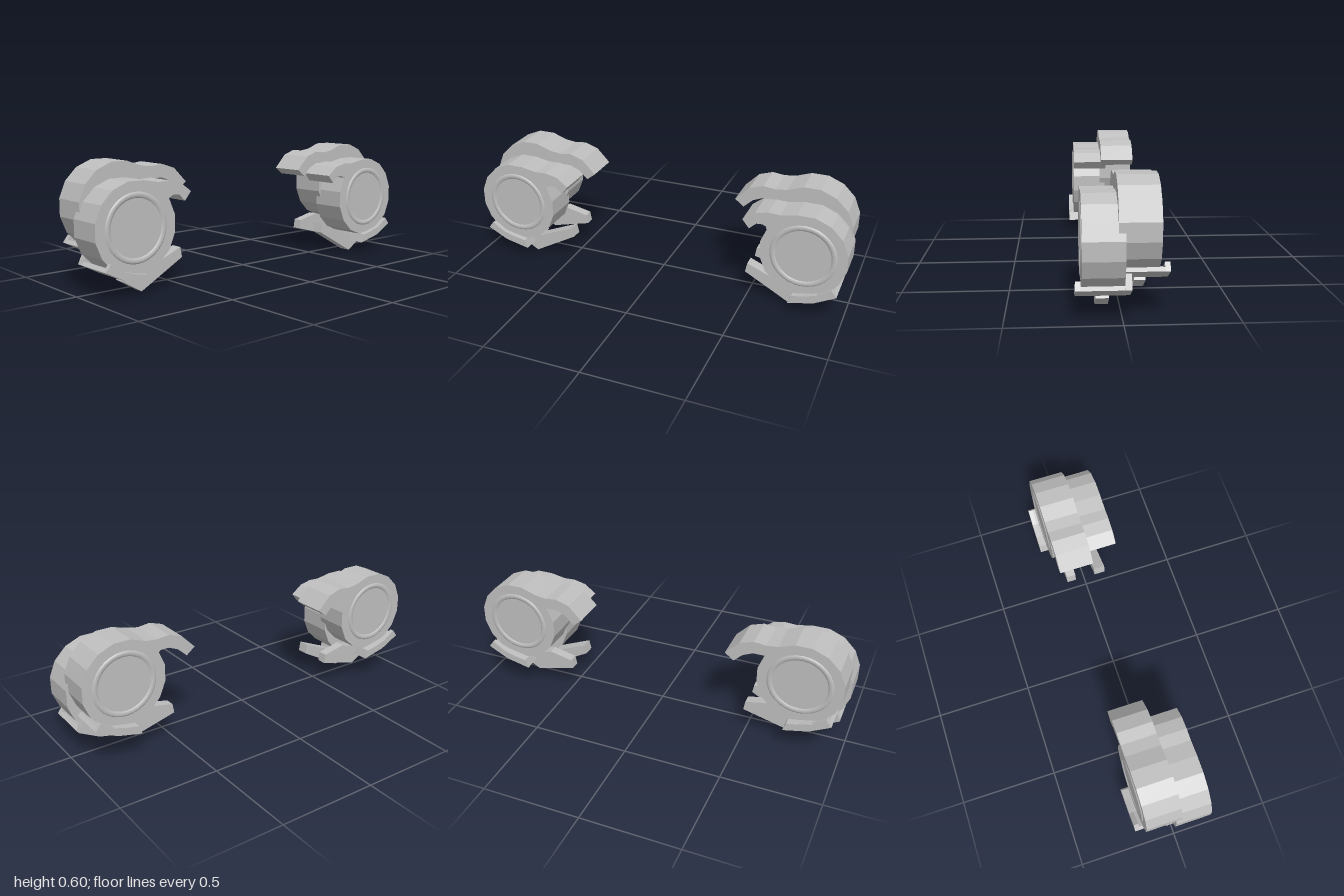
import * as THREE from 'three';

const grey = new THREE.MeshStandardMaterial({ color: 0xbebebe });
grey.name = 'grey';

// Extrude an x/y outline between two depths; s mirrors it across x = 0
function slab(name, points, z0, z1, s) {
  const shape = new THREE.Shape(points.map(([x, y]) => new THREE.Vector2(x * s, y)));
  const geo = new THREE.ExtrudeGeometry(shape, { depth: z1 - z0, bevelEnabled: false });
  geo.translate(0, 0, z0);
  const mesh = new THREE.Mesh(geo, grey);
  mesh.name = name;
  return mesh;
}

// Sixteen-sided housing whose upper inner side runs out into a curved horn
function housingOutline(cx, cy, horn) {
  const R = 0.217, pts = [];
  for (let i = 0; i < 16; i++) {
    const deg = 146.25 + i * 22.5;
    if (deg > 146.25 + 14 * 22.5 + 1) break;
    const a = THREE.MathUtils.degToRad(deg);
    pts.push([cx + R * Math.cos(a), cy + R * Math.sin(a)]);
  }
  return pts.concat(horn);
}

// Thin rounded ring on the outer face of a housing
function dialRing(cx, cy, z, dir) {
  const profile = [[0.166, -0.002], [0.163, 0.003], [0.155, 0.006], [0.146, 0.005], [0.139, 0.002], [0.135, -0.002]]
    .map(([r, h]) => new THREE.Vector2(r, h));
  const ring = new THREE.Mesh(new THREE.LatheGeometry(profile, 32), grey);
  ring.name = 'dialRing';
  ring.rotation.x = dir * Math.PI / 2;
  ring.position.set(cx, cy, z);
  return ring;
}

const frontHorn = [
  [0.66, 0.512], [0.6, 0.515], [0.535, 0.5], [0.475, 0.455],
  [0.51, 0.412], [0.545, 0.445], [0.575, 0.447]];
const rearHorn = [
  [0.65, 0.575], [0.59, 0.568], [0.53, 0.575], [0.46, 0.552], [0.39, 0.48],
  [0.435, 0.445], [0.48, 0.488], [0.53, 0.51]];

// Curved pad beneath the housing, with a lip at either end
const padBody = [[0.965, 0.14], [0.95, 0.155], [0.87, 0.125], [0.8, 0.11], [0.745, 0.1], [0.73, 0.055], [0.86, 0.085]];
const outerLip = [[0.965, 0.14], [0.938, 0.175], [0.87, 0.13], [0.8, 0.11], [0.745, 0.1], [0.73, 0.055], [0.86, 0.085]];
const innerLip = [[0.965, 0.14], [0.935, 0.205], [0.86, 0.15], [0.745, 0.1], [0.73, 0.055], [0.86, 0.085]];

// Bent prongs below the pads
const frontProng = [[0.72, 0], [0.82, 0.06], [0.81, 0.075], [0.745, 0.075], [0.495, 0.18], [0.485, 0.13]];
const rearProng = [[0.7, 0.075], [0.805, 0.135], [0.795, 0.15], [0.62, 0.205], [0.495, 0.178], [0.487, 0.13]];

function pad(dx, dy, dir, s) {
  const group = new THREE.Group();
  group.name = dir > 0 ? 'frontPad' : 'rearPad';
  const add = (name, outline, a, b) => group.add(slab(name,
    outline.map(([x, y]) => [x + dx, y + dy]), Math.min(a * dir, b * dir), Math.max(a * dir, b * dir), s));
  add('padBody', padBody, -0.01, 0.177);
  add('outerLip', outerLip, 0.177, 0.2);
  add('innerLip', innerLip, -0.038, -0.01);
  return group;
}

function unit(s) {
  const group = new THREE.Group();
  group.name = s > 0 ? 'leftUnit' : 'rightUnit';
  group.add(
    slab('frontHousing', housingOutline(0.783, 0.314, frontHorn), -0.01, 0.172, s),
    dialRing(0.783 * s, 0.314, 0.172, 1),
    slab('rearHousing', housingOutline(0.77, 0.39, rearHorn), -0.16, 0.02, s),
    dialRing(0.77 * s, 0.39, -0.16, -1),
    pad(0, 0, 1, s),
    pad(-0.015, 0.075, -1, s),
    slab('frontProng', frontProng, 0.05, 0.11, s),
    slab('rearProng', rearProng, -0.11, -0.06, s));
  return group;
}

export function createModel() {
  const model = new THREE.Group();
  model.name = 'pairedWheelUnits';
  for (const s of [1, -1]) model.add(unit(s));
  return model;
}
